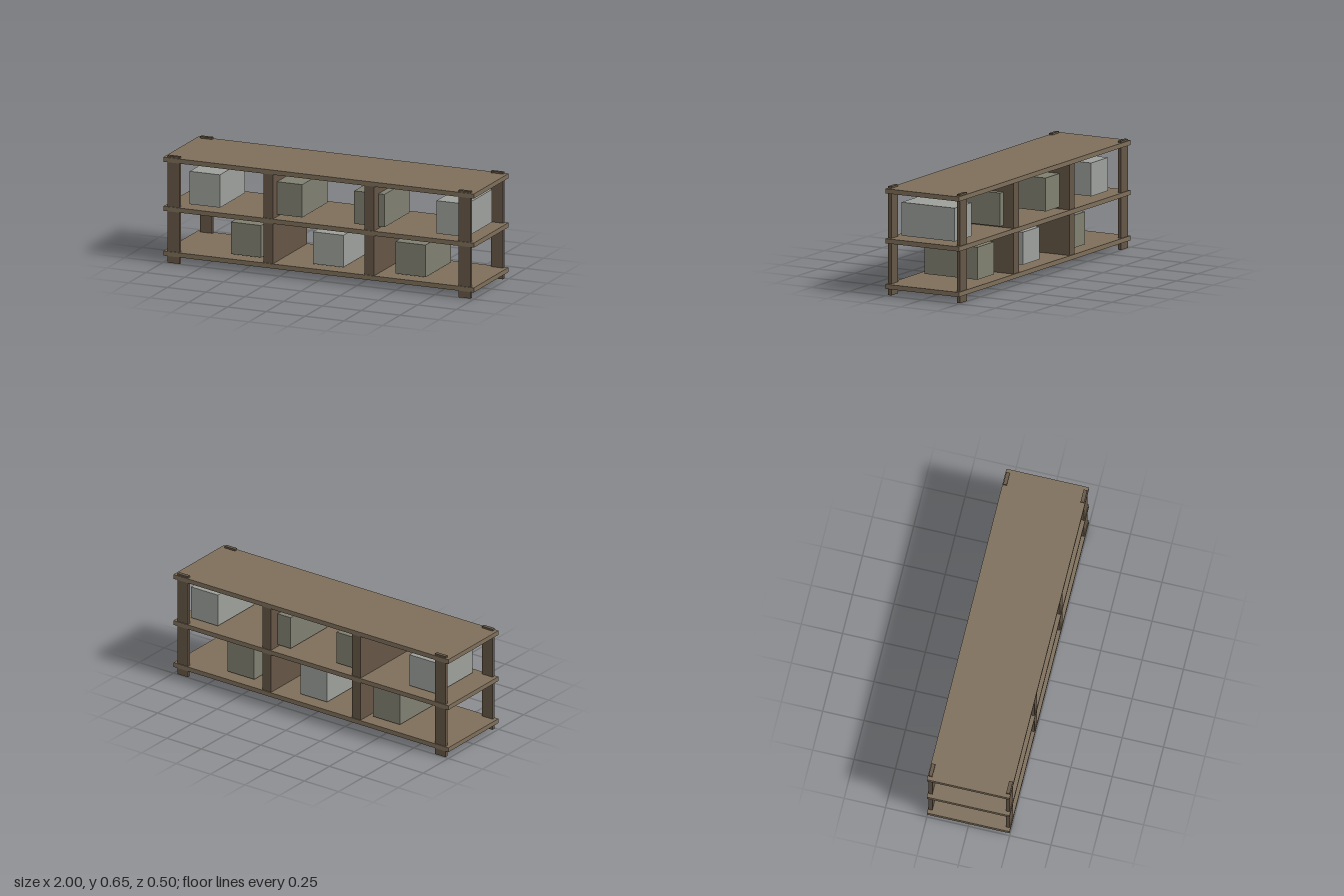
import * as THREE from 'three';

const material = (color) => new THREE.MeshStandardMaterial({ color });

export function createModel() {
  const group = new THREE.Group();
  const boardWood = material(0x7d6e5a);
  const frameWood = material(0x655646);
  const greyBin = material(0x9c9f9a);
  const oliveBin = material(0x7f7f70);

  // Box given by its low and high limits on each axis
  const addBox = (name, mat, [x0, x1], [y0, y1], [z0, z1]) => {
    const mesh = new THREE.Mesh(new THREE.BoxGeometry(x1 - x0, y1 - y0, z1 - z0), mat);
    mesh.position.set((x0 + x1) / 2, (y0 + y1) / 2, (z0 + z1) / 2);
    mesh.name = name;
    group.add(mesh);
  };

  // Three long boards
  const boards = [[0.041, 0.069], [0.314, 0.342], [0.613, 0.641]];
  boards.forEach((y, i) => addBox(['bottomShelf', 'middleShelf', 'topShelf'][i], boardWood, [-1, 1], y, [-0.25, 0.25]));

  // Flat corner posts running through the boards
  for (const sx of [-1, 1]) {
    for (const sz of [-1, 1]) {
      const name = (sz > 0 ? 'front' : 'back') + (sx > 0 ? 'Left' : 'Right') + 'Post';
      const x = sx * 0.937, z = sz * 0.234;
      addBox(name, frameWood, [x - 0.039, x + 0.039], [0, 0.652], [z - 0.011, z + 0.011]);
    }
  }

  // Upright dividers between the boards
  for (const x of [-0.327, 0.325]) {
    for (let i = 0; i < 2; i++) {
      addBox(i ? 'upperDivider' : 'lowerDivider', frameWood,
        [x - 0.031, x + 0.031], [boards[i][1], boards[i + 1][0]], [-0.245, 0.245]);
    }
  }

  // Storage bins, evenly spaced on each level
  const binRows = [
    { name: 'lowerBin', start: -0.595, y: [0.08, 0.275], mats: [oliveBin, greyBin, oliveBin] },
    { name: 'upperBin', start: -0.86, y: [0.354, 0.554], mats: [greyBin, oliveBin, oliveBin, greyBin] },
  ];
  for (const { name, start, y, mats } of binRows) {
    mats.forEach((mat, i) => {
      const x = start + i * 0.53;
      addBox(name, mat, [x, x + 0.195], y, [-0.178, 0.184]);
    });
  }

  return group;
}
